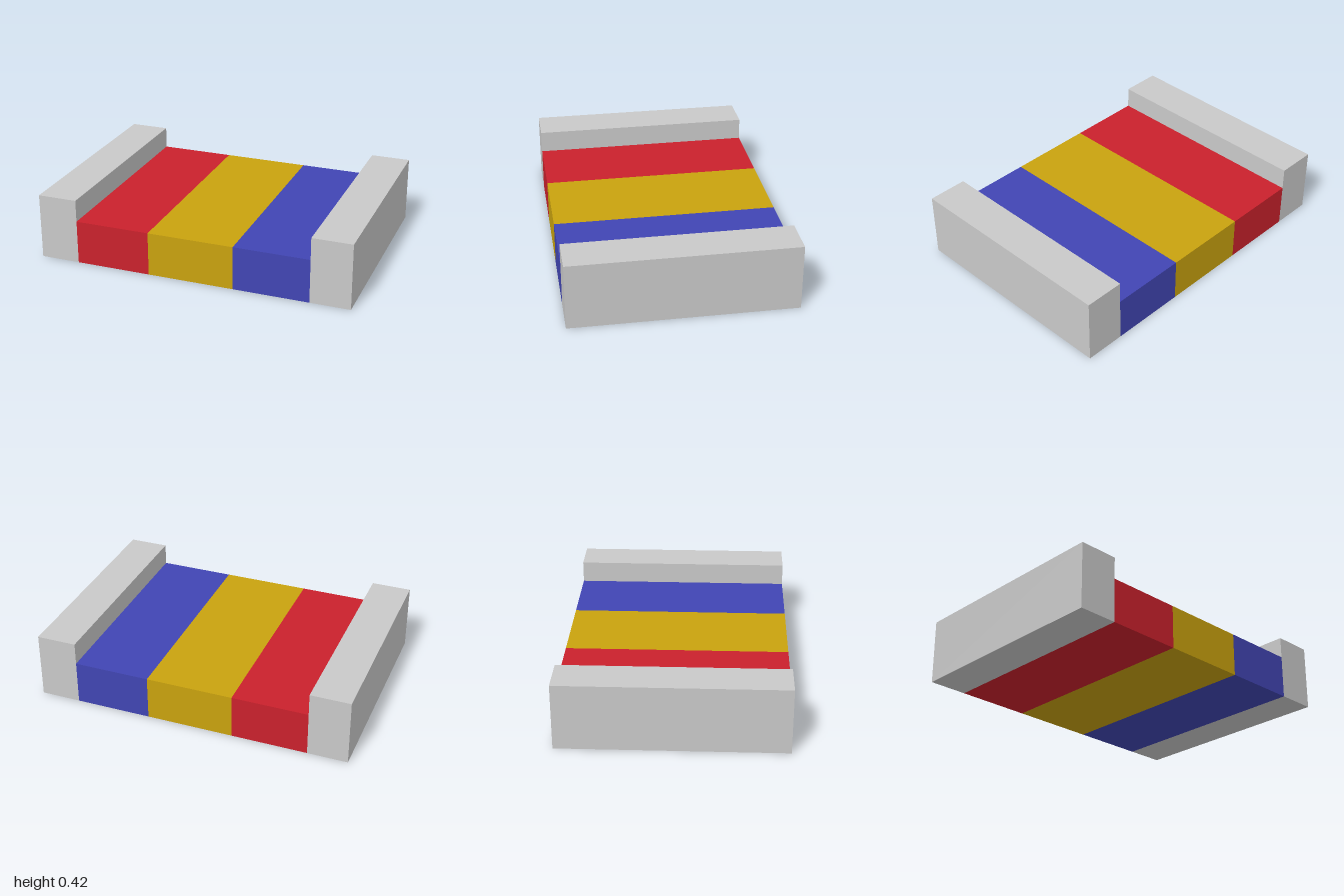
import * as THREE from 'three';

const DEPTH = 1.386;
const DECK_HEIGHT = 0.277;
const RAIL_HEIGHT = 0.416;

function material(name, color) {
  const m = new THREE.MeshStandardMaterial({ color });
  m.name = name;
  return m;
}

// Full-depth block standing on the ground between two x positions
function block(name, x0, x1, height, mat) {
  const mesh = new THREE.Mesh(new THREE.BoxGeometry(x1 - x0, height, DEPTH), mat);
  mesh.position.set((x0 + x1) / 2, height / 2, 0);
  mesh.name = name;
  return mesh;
}

export function createModel() {
  const grey = material('light grey', 0xc9c9c9);
  const red = material('red', 0xca212c);
  const yellow = material('golden yellow', 0xc9a20e);
  const blue = material('blue', 0x4145b3);

  const model = new THREE.Group();
  model.name = 'stripedDeck';

  // Raised side rails
  model.add(block('rightRail', -1, -0.75, RAIL_HEIGHT, grey));
  model.add(block('leftRail', 0.75, 1, RAIL_HEIGHT, grey));

  // Three coloured deck bands between the rails
  model.add(block('redBand', -0.75, -0.273, DECK_HEIGHT, red));
  model.add(block('yellowBand', -0.273, 0.273, DECK_HEIGHT, yellow));
  model.add(block('blueBand', 0.273, 0.75, DECK_HEIGHT, blue));

  return model;
}
